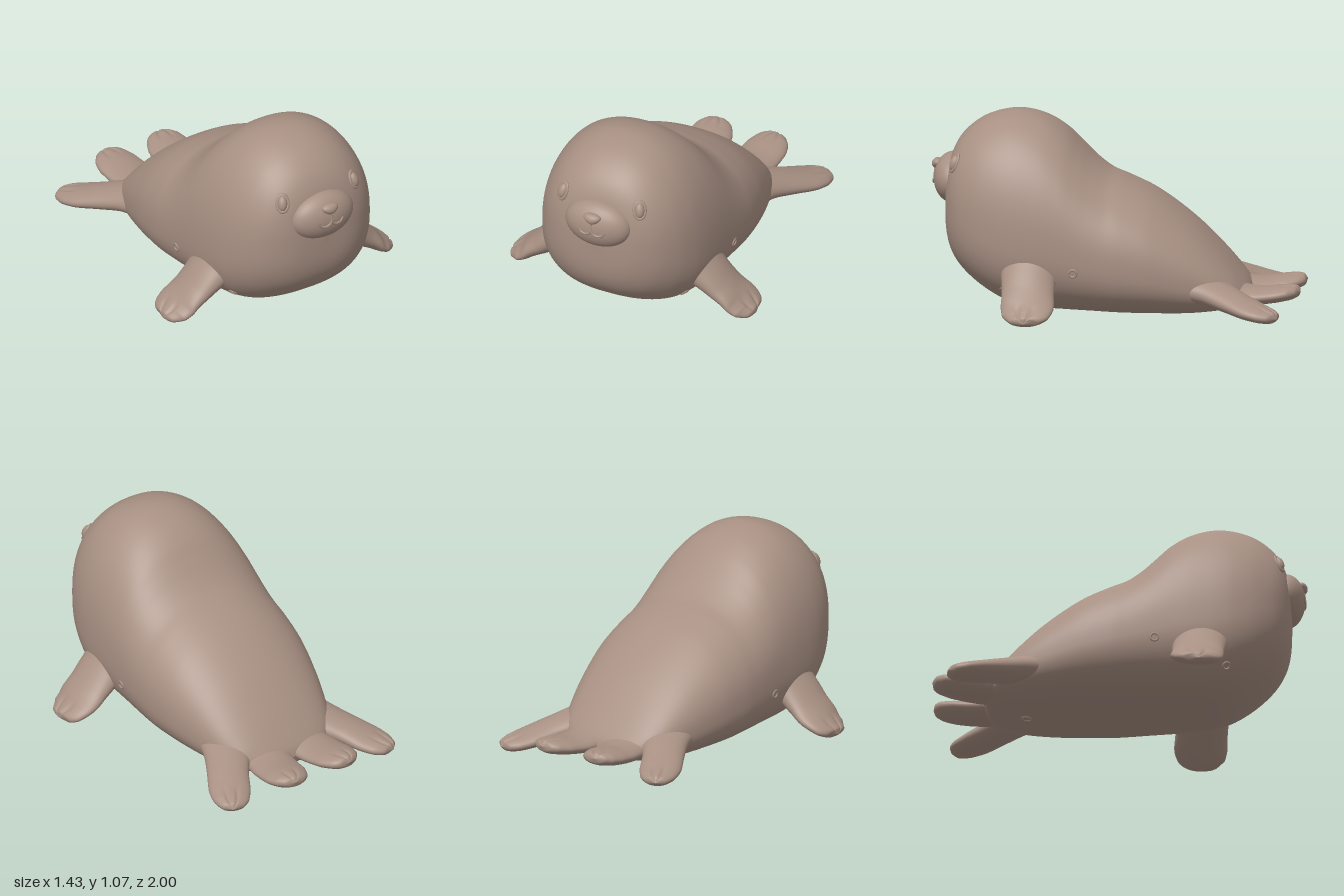
import * as THREE from 'three';

const V = (x, y, z) => new THREE.Vector3(x, y, z);
const track = (pts) => new THREE.CatmullRomCurve3(pts);

// Skin a closed tube from point(t, angle); side = -1 mirrors it across x
function loft(point, rows, cols, side = 1) {
  const pos = [], idx = [];
  for (let i = 0; i <= rows; i++) {
    for (let j = 0; j < cols; j++) {
      const p = point(i / rows, (j / cols) * Math.PI * 2);
      pos.push(p.x * side, p.y, p.z);
      if (i === rows) continue;
      const a = i * cols + j, b = i * cols + (j + 1) % cols, c = a + cols, d = b + cols;
      if (side > 0) idx.push(a, c, b, b, c, d);
      else idx.push(a, b, c, b, d, c);
    }
  }
  const g = new THREE.BufferGeometry();
  g.setAttribute('position', new THREE.Float32BufferAttribute(pos, 3));
  g.setIndex(idx);
  g.computeVertexNormals();
  return g;
}

// Body stations: z, bottom, top, half width, height of the widest point
const BODY = [
  [0.92, 0.56, 0.56, 0, 0.56],
  [0.908, 0.39, 0.73, 0.17, 0.57],
  [0.875, 0.29, 0.86, 0.265, 0.58],
  [0.82, 0.215, 0.945, 0.34, 0.55],
  [0.72, 0.13, 1.022, 0.41, 0.5],
  [0.6, 0.06, 1.062, 0.452, 0.45],
  [0.5, 0.03, 1.067, 0.468, 0.42],
  [0.38, 0.015, 1.035, 0.476, 0.4],
  [0.275, 0.01, 0.97, 0.478, 0.38],
  [0.19, 0.007, 0.885, 0.479, 0.36],
  [0.12, 0.005, 0.815, 0.48, 0.34],
  [0.04, 0.002, 0.755, 0.48, 0.32],
  [-0.05, 0, 0.717, 0.478, 0.3],
  [-0.2, 0, 0.645, 0.46, 0.27],
  [-0.4, 0.004, 0.5, 0.41, 0.21],
  [-0.55, 0.02, 0.355, 0.355, 0.16],
  [-0.65, 0.04, 0.24, 0.29, 0.13],
  [-0.71, 0.06, 0.16, 0.19, 0.11],
  [-0.73, 0.11, 0.11, 0, 0.11],
];

function bodyGeometry() {
  const heights = track(BODY.map((s) => V(s[0], s[1], s[2])));
  const widths = track(BODY.map((s) => V(s[3], s[4], 0)));
  const power = (v, n) => Math.sign(v) * Math.pow(Math.abs(v), 2 / n);
  return loft((t, a) => {
    const h = heights.getPoint(t), w = widths.getPoint(t);
    const c = Math.cos(a), s = Math.sin(a);
    const n = s > 0 ? 2.2 : 2.6; // rounder back, flatter belly
    const reach = s > 0 ? h.z - w.y : w.y - h.y;
    return V(w.x * power(c, n), w.y + reach * power(s, n), h.x);
  }, 120, 96);
}

// Flipper stations: x, y, z, half width, half thickness
const FLIPPERS = {
  frontFlipper: [
    [0.34, 0.3, 0.43, 0.17, 0.12], [0.43, 0.235, 0.43, 0.148, 0.088],
    [0.52, 0.16, 0.425, 0.14, 0.066], [0.6, 0.1, 0.42, 0.142, 0.05],
    [0.66, 0.062, 0.425, 0.125, 0.04], [0.7, 0.042, 0.43, 0.075, 0.028],
    [0.715, 0.035, 0.43, 0, 0],
  ],
  outerHindFlipper: [
    [0.24, 0.17, -0.42, 0.15, 0.09], [0.31, 0.15, -0.55, 0.125, 0.07],
    [0.39, 0.115, -0.67, 0.112, 0.058], [0.45, 0.085, -0.77, 0.112, 0.048],
    [0.49, 0.068, -0.845, 0.095, 0.04], [0.515, 0.06, -0.89, 0.06, 0.028],
    [0.525, 0.056, -0.91, 0, 0],
  ],
  innerHindFlipper: [
    [0.12, 0.14, -0.55, 0.14, 0.08], [0.135, 0.115, -0.68, 0.128, 0.058],
    [0.15, 0.115, -0.78, 0.126, 0.048], [0.163, 0.128, -0.88, 0.12, 0.045],
    [0.172, 0.14, -0.95, 0.095, 0.04], [0.178, 0.146, -0.985, 0.058, 0.028],
    [0.18, 0.148, -1, 0, 0],
  ],
};

function flipperGeometry(stations, side) {
  const path = track(stations.map((s) => V(s[0], s[1], s[2])));
  const size = track(stations.map((s) => V(s[3], s[4], 0)));
  return loft((t, a) => {
    const dir = path.getTangent(t);
    const across = V().crossVectors(dir, V(0, 1, 0)).normalize();
    const up = V().crossVectors(across, dir);
    const w = size.getPoint(t), c = Math.cos(a), s = Math.sin(a);
    // two grooves between the toes on the upper side
    const groove = s > 0 ? Math.exp(-(((Math.abs(c) - 0.3) / 0.08) ** 2)) : 0;
    const depth = 1 - 0.28 * groove * THREE.MathUtils.smoothstep(t, 0.5, 0.7);
    return path.getPoint(t).addScaledVector(across, w.x * c).addScaledVector(up, w.y * s * depth);
  }, 40, 72, side);
}

export function createModel() {
  const group = new THREE.Group();
  const fur = new THREE.MeshStandardMaterial({ color: 0xa89083 });
  fur.name = 'warm taupe';

  const add = (name, geometry, parent = group) => {
    const mesh = new THREE.Mesh(geometry, fur);
    mesh.name = name;
    parent.add(mesh);
    return mesh;
  };
  const body = add('body', bodyGeometry());
  body.updateMatrixWorld();

  // Holder resting on the body surface, its z axis along the surface normal
  const onBody = (name, origin, dir) => {
    const hit = new THREE.Raycaster(origin, dir.normalize()).intersectObject(body)[0];
    const holder = new THREE.Group();
    holder.name = name;
    holder.position.copy(hit.point);
    holder.lookAt(hit.point.clone().add(hit.face.normal));
    group.add(holder);
    return holder;
  };

  // Muzzle
  const M = { y: 0.692, z: 0.885, rx: 0.19, ry: 0.136, rz: 0.103 };
  add('muzzle', new THREE.SphereGeometry(1, 48, 32).scale(M.rx, M.ry, M.rz).translate(0, M.y, M.z));
  const onMuzzle = (x, y) =>
    V(x, y, M.z + M.rz * Math.sqrt(1 - (x / M.rx) ** 2 - ((y - M.y) / M.ry) ** 2));

  // Nose, wider at the top
  const nose = new THREE.SphereGeometry(1, 32, 20);
  const np = nose.attributes.position;
  for (let i = 0; i < np.count; i++) np.setX(i, np.getX(i) * (1 + 0.4 * np.getY(i)));
  nose.scale(0.046, 0.031, 0.032).translate(0, 0.763, 0.968);
  nose.computeVertexNormals();
  add('nose', nose);
  add('lipLine', new THREE.TubeGeometry(track([onMuzzle(0, 0.74), onMuzzle(0, 0.695)]), 6, 0.005, 8));

  for (const side of [1, -1]) {
    const label = side > 0 ? 'left ' : 'right ';

    // Smile
    const smile = [[0, 0.697], [0.012, 0.678], [0.036, 0.669], [0.062, 0.677], [0.075, 0.695]];
    add(label + 'mouth', new THREE.TubeGeometry(
      track(smile.map(([x, y]) => onMuzzle(x * side, y))), 24, 0.007, 8));

    // Eye with a raised rim
    const eye = onBody(label + 'eye', V(side * 0.225, 0.81, 2), V(0, 0, -1));
    add('eyeball', new THREE.SphereGeometry(1, 24, 16).scale(0.026, 0.043, 0.026), eye);
    add('eyeRim', new THREE.TorusGeometry(0.03, 0.008, 10, 32).scale(1, 1.5, 1), eye);

    // Small rimmed holes on the flank and the chest
    const flank = onBody(label + 'flankHole', V(side * 2, 0.27, 0.19), V(-side, 0, 0));
    const chest = onBody(label + 'chestHole', V(side * 0.36, 0.15, 2), V(0, 0, -1));
    for (const hole of [flank, chest]) add('holeRim', new THREE.TorusGeometry(0.02, 0.006, 8, 24), hole);

    for (const [name, stations] of Object.entries(FLIPPERS)) {
      add(label + name, flipperGeometry(stations, side));
    }
  }

  // Hole under the belly
  const belly = onBody('bellyHole', V(0, -1, -0.5), V(0, 1, 0));
  add('holeRim', new THREE.TorusGeometry(0.025, 0.006, 8, 24), belly);

  return group;
}
